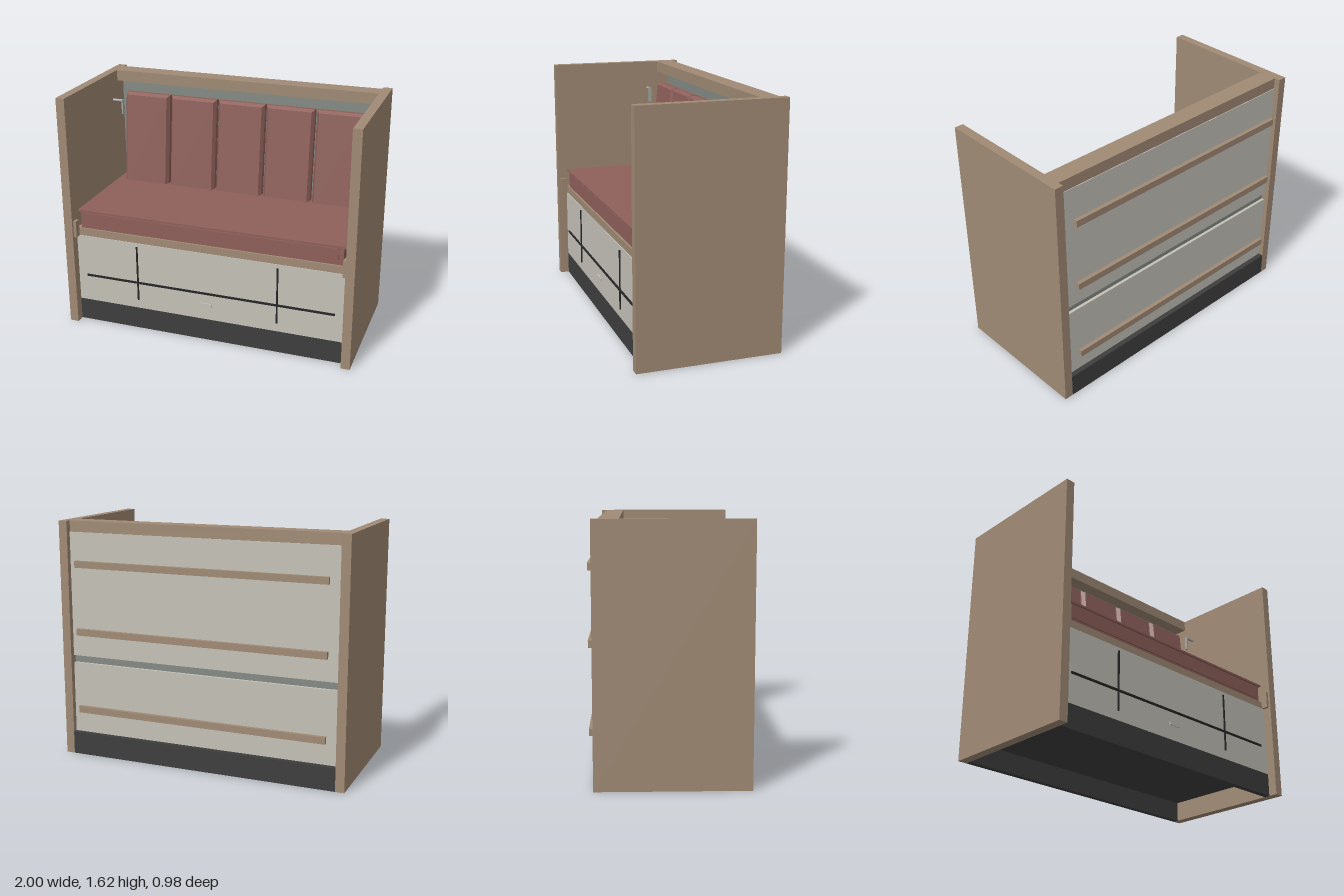
import * as THREE from 'three';

export function createModel() {
  const model = new THREE.Group();
  const mat = (name, color) => Object.assign(new THREE.MeshStandardMaterial({ color }), { name });
  const wood = mat('brown wood', 0xa08a75);
  const red = mat('red upholstery', 0x8e605b);
  const pale = mat('pale panel', 0xc4c1b7);
  const wallGrey = mat('grey wall', 0x848a85);
  const dark = mat('dark plinth', 0x3e3e3e);
  const black = mat('black trim', 0x262626);
  const metal = mat('metal', 0xa5a8a6);

  // box given by its limits along each axis
  const box = (name, material, [x0, x1], [y0, y1], [z0, z1]) => {
    const mesh = new THREE.Mesh(new THREE.BoxGeometry(x1 - x0, y1 - y0, z1 - z0), material);
    mesh.position.set((x0 + x1) / 2, (y0 + y1) / 2, (z0 + z1) / 2);
    mesh.name = name;
    model.add(mesh);
    return mesh;
  };
  const span = (h) => [-h, h];
  const sided = (s, a, b) => (s > 0 ? [a, b] : [-b, -a]);

  // frame
  for (const s of [1, -1]) {
    box('sidePanel', wood, sided(s, 0.94, 1), [0, 1.615], [-0.465, 0.49]);
    box('seatStop', wood, sided(s, 0.92, 0.94), [0.64, 0.755], [0.43, 0.475]);
  }
  box('topRail', wood, span(0.94), [1.54, 1.615], [-0.425, -0.3]);
  box('frontRail', wood, span(0.94), [0.64, 0.692], [0.36, 0.425]);

  // hollow plinth with a floor
  box('plinthFront', dark, span(0.94), [0, 0.155], [0.39, 0.43]);
  box('plinthBack', dark, span(0.94), [0, 0.155], [-0.465, -0.425]);
  box('floor', dark, span(0.94), [0.135, 0.155], [-0.425, 0.39]);

  // back wall, outer back panels and the recessed deck between them
  box('innerWall', wallGrey, span(0.94), [0.69, 1.54], [-0.41, -0.395]);
  box('backPanelUpper', pale, span(0.94), [0.695, 1.54], [-0.43, -0.41]);
  box('backPanelLower', pale, span(0.94), [0.155, 0.645], [-0.43, -0.41]);
  box('seatDeck', wallGrey, span(0.94), [0.645, 0.69], [-0.41, 0.36]);
  for (const y of [0.31, 0.85, 1.31])
    box('backSlat', wood, span(0.875), [y, y + 0.045], [-0.492, -0.465]);

  // front panel with trim strips and a handle
  box('frontPanel', pale, span(0.94), [0.155, 0.64], [0.4, 0.43]);
  box('trimHorizontal', black, span(0.875), [0.342, 0.355], [0.43, 0.439]);
  for (const x of [-0.495, 0.49])
    box('trimVertical', black, [x - 0.005, x + 0.005], [0.217, 0.615], [0.43, 0.438]);
  box('handle', pale, [-0.048, 0.04], [0.252, 0.275], [0.43, 0.438]);

  // seat cushion
  box('seatCushion', red, span(0.91), [0.69, 0.812], [-0.37, 0.412]);
  box('seatCushionFront', red, span(0.875), [0.713, 0.805], [0.412, 0.42]);
  box('seatCushionTop', red, span(0.925), [0.812, 0.825], [-0.37, 0.425]);

  // leaning back cushions with chamfered fronts
  const w = 0.15, top = 0.63;
  const outline = new THREE.Shape([
    new THREE.Vector2(-w, -0.02), new THREE.Vector2(w, -0.02),
    new THREE.Vector2(w, top), new THREE.Vector2(-w, top),
  ]);
  const cushionGeo = new THREE.ExtrudeGeometry(outline, {
    depth: 0.04, bevelEnabled: true, bevelThickness: 0.025, bevelSize: 0.018, bevelSegments: 1,
  });
  cushionGeo.translate(0, 0, -0.065); // front face at z = 0
  for (let i = -2; i <= 2; i++) {
    const cushion = new THREE.Mesh(cushionGeo, red);
    cushion.name = 'backCushion';
    cushion.position.set(i * 0.351 - 0.002, 0.822, -0.215);
    cushion.rotation.x = -0.1;
    model.add(cushion);
  }

  // pins and hanging plates beside the back cushions
  for (const s of [1, -1]) {
    const pin = new THREE.Mesh(new THREE.CylinderGeometry(0.009, 0.009, 0.07, 12), metal);
    pin.name = 'cushionPin';
    pin.rotation.z = Math.PI / 2;
    pin.position.set(s * 0.905, 1.418, -0.222);
    model.add(pin);
    box('pinPlate', metal, sided(s, 0.863, 0.873), [1.32, 1.427], [-0.232, -0.212]);
  }
  return model;
}
